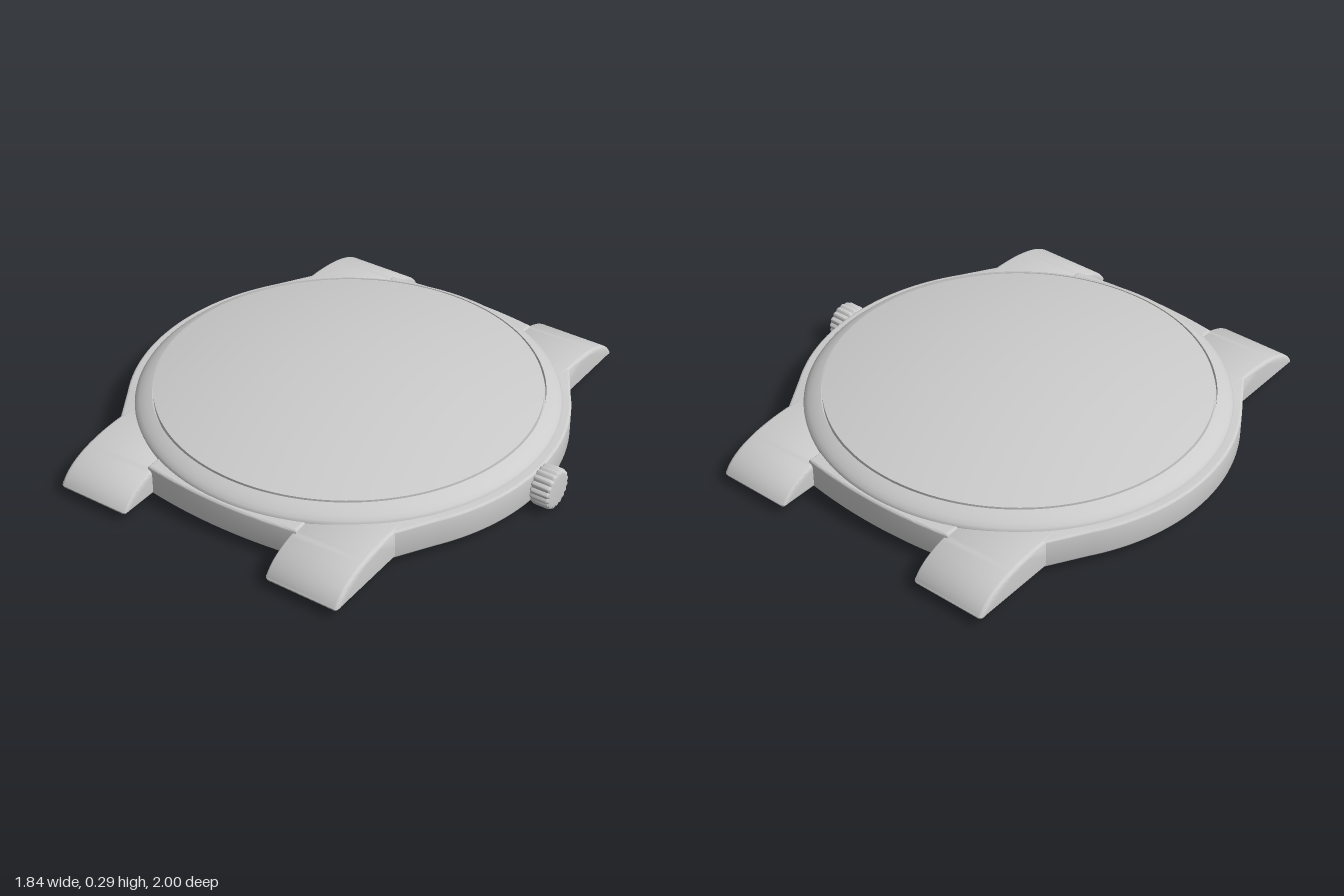
import * as THREE from 'three';
import { toCreasedNormals } from 'three/addons/utils/BufferGeometryUtils.js';

const material = new THREE.MeshStandardMaterial({ color: 0xcccccc });
const BOTTOM = 0.032, TOP = 0.155;

function addMesh(parent, name, geometry, crease = 0.6) {
  const mesh = new THREE.Mesh(toCreasedNormals(geometry, crease), material);
  mesh.name = name;
  parent.add(mesh);
  return mesh;
}

// Extrusion whose rounded edges stay inside the outline and total depth
function extrude(shape, depth, bevel, segments, curveSegments = 24) {
  return new THREE.ExtrudeGeometry(shape, {
    depth: depth - 2 * bevel, bevelEnabled: true, bevelSize: bevel, bevelThickness: bevel,
    bevelOffset: -bevel, bevelSegments: segments, curveSegments,
  }).translate(0, 0, bevel);
}

function lathe(points, segments = 128) {
  return new THREE.LatheGeometry(points.map(([r, y]) => new THREE.Vector2(r, y)), segments);
}

// Case outline: round flanks, straight run to the lugs, shallow arcs between them
function caseShape() {
  const flank = Math.atan2(0.49, 0.73), s = new THREE.Shape();
  s.absarc(0, 0, 0.88, -flank, flank, false);
  s.lineTo(0.64, 0.64);
  s.lineTo(0.345, 0.68);
  s.lineTo(0.345, 0.832);
  s.quadraticCurveTo(0, 0.888, -0.345, 0.832);
  s.lineTo(-0.345, 0.68);
  s.lineTo(-0.64, 0.64);
  s.absarc(0, 0, 0.88, Math.PI - flank, Math.PI + flank, false);
  s.lineTo(-0.64, -0.64);
  s.lineTo(-0.345, -0.68);
  s.lineTo(-0.345, -0.832);
  s.quadraticCurveTo(0, -0.888, 0.345, -0.832);
  s.lineTo(0.345, -0.68);
  s.lineTo(0.64, -0.64);
  return s;
}

// Lug side profile, sweeping down to a thin tip
function lugShape() {
  const s = new THREE.Shape();
  s.moveTo(0.56, BOTTOM);
  s.lineTo(0.995, BOTTOM);
  s.lineTo(1.0, 0.042);
  s.bezierCurveTo(0.965, 0.105, 0.87, 0.155, 0.66, TOP + 0.002);
  s.lineTo(0.56, TOP);
  return s;
}

// Fluted crown outline
function crownShape(radius, flutes) {
  const pts = [];
  const steps = flutes * 6;
  for (let i = 0; i < steps; i++) {
    const a = (i / steps) * Math.PI * 2;
    const r = radius - 0.007 * (1 - Math.abs(Math.sin((a * flutes) / 2)));
    pts.push(new THREE.Vector2(r * Math.cos(a), r * Math.sin(a)));
  }
  return new THREE.Shape(pts);
}

export function createModel() {
  const model = new THREE.Group();
  model.name = 'watchCase';
  const body = new THREE.Group();
  body.name = 'caseAssembly';
  body.position.x = -0.04;
  model.add(body);

  // Middle case
  const middle = extrude(caseShape(), TOP - BOTTOM, 0.01, 3, 48);
  middle.rotateX(Math.PI / 2).translate(0, TOP, 0);
  addMesh(body, 'middleCase', middle);

  // Two pairs of lugs
  for (const end of [0, 1]) {
    const pair = new THREE.Group();
    pair.name = end ? 'backLugs' : 'frontLugs';
    pair.rotation.y = end * Math.PI;
    body.add(pair);
    for (const x of [0.643, -0.323]) {
      const lug = extrude(lugShape(), 0.32, 0.016, 4);
      lug.rotateY(-Math.PI / 2).translate(x, 0, 0);
      addMesh(pair, 'lug', lug);
    }
  }

  // Back cover
  addMesh(body, 'backCover', lathe([[0, 0.03], [0.835, 0.03], [0.838, 0.04]]));

  // Rounded bezel with a narrow groove inside it
  addMesh(body, 'bezel', lathe([
    [0.846, 0.145], [0.846, 0.157], [0.84, 0.167], [0.827, 0.179],
    [0.81, 0.19], [0.793, 0.199], [0.779, 0.205], [0.777, 0.185],
  ]));

  // Domed crystal
  const dome = [[0.771, 0.185]];
  for (let i = 0; i <= 20; i++) {
    const r = 0.771 * (1 - i / 20);
    dome.push([r, 0.29 - 0.083 * (r / 0.771) ** 2]);
  }
  addMesh(body, 'crystal', lathe(dome));

  // Winding crown and its stem on the left flank
  const crown = extrude(crownShape(0.082, 18), 0.085, 0.014, 3);
  crown.rotateY(Math.PI / 2).translate(0.835, 0.082, 0);
  addMesh(model, 'crown', crown, 0.4);
  const stem = new THREE.CylinderGeometry(0.04, 0.04, 0.06, 24);
  stem.rotateZ(Math.PI / 2).translate(0.82, 0.085, 0);
  addMesh(model, 'crownStem', stem);

  return model;
}
